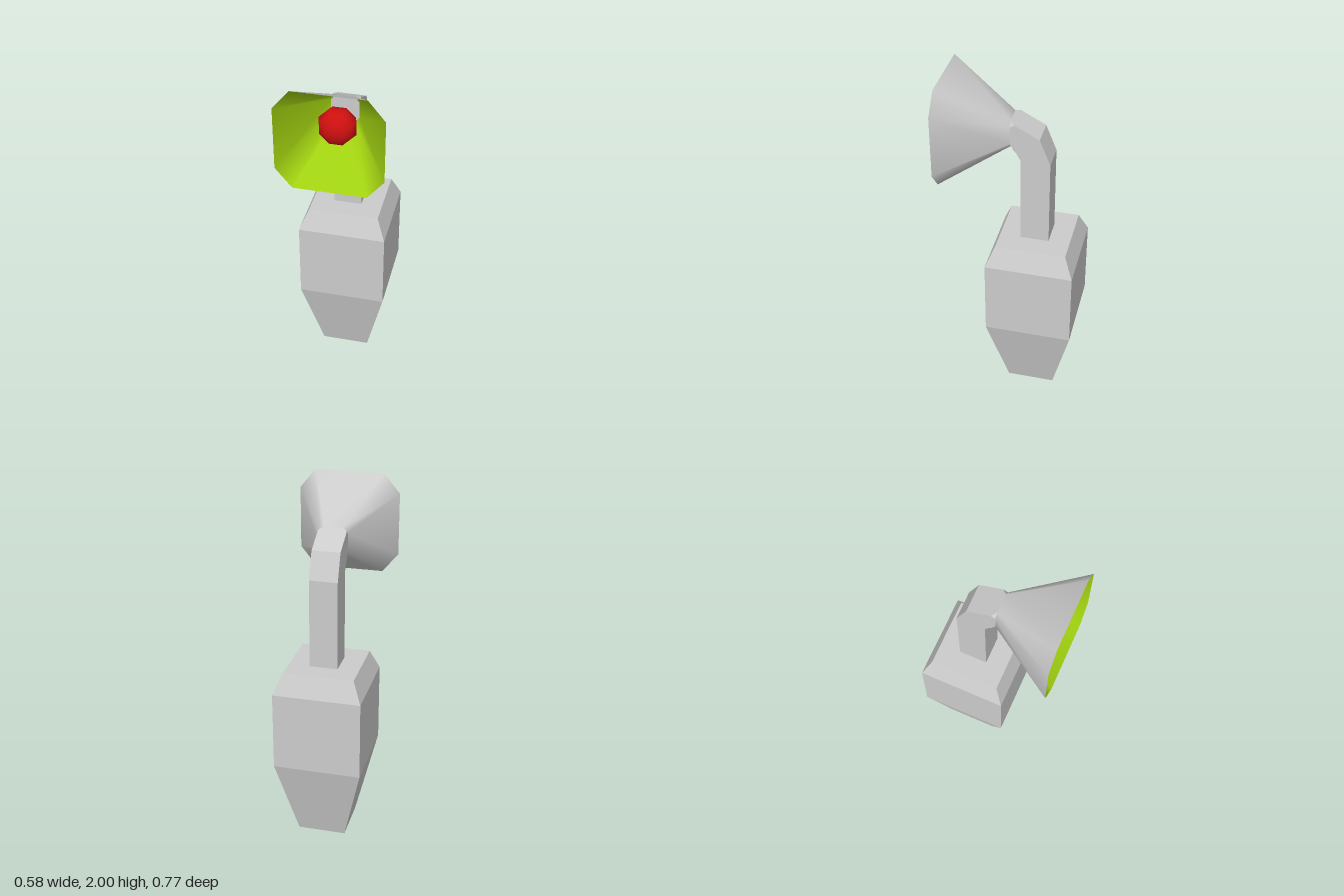
import * as THREE from 'three';

// Joins rings of points into a skin; rings run counterclockwise about the path.
function loft(rings, { flat = true, caps = true, inward = false } = {}) {
  const n = rings[0].length, last = (rings.length - 1) * n, index = [];
  const tri = (a, b, c) => (inward ? index.push(a, c, b) : index.push(a, b, c));
  for (let r = 0; r < rings.length - 1; r++) {
    for (let i = 0; i < n; i++) {
      const a = r * n + i, b = r * n + (i + 1) % n;
      tri(a, b, b + n);
      tri(a, b + n, a + n);
    }
  }
  if (caps) {
    for (let i = 1; i < n - 1; i++) {
      tri(0, i + 1, i);
      tri(last, last + i, last + i + 1);
    }
  }
  let geometry = new THREE.BufferGeometry();
  geometry.setAttribute('position', new THREE.Float32BufferAttribute(rings.flat(2), 3));
  geometry.setIndex(index);
  if (flat) geometry = geometry.toNonIndexed();
  geometry.computeVertexNormals();
  return geometry;
}

// Horizontal square of half width h
const square = (h, y, cz) => [[h, y, cz + h], [h, y, cz - h], [-h, y, cz - h], [-h, y, cz + h]];

// Upright octagon facing +z: half size h, flat sides of half length fx and fy
const octagon = (h, fx, fy, cy, z) => [
  [fx, -h], [h, -fy], [h, fy], [fx, h], [-fx, h], [-h, fy], [-h, -fy], [-fx, -h],
].map(([x, y]) => [x, cy + y, z]);

// Square stem section with doubled corners, so it can meet an octagon
function stemSection([innerZ, innerY], [outerZ, outerY]) {
  const w = 0.08;
  const inner = [innerY, innerZ], outer = [outerY, outerZ];
  return [[w, ...inner], [w, ...inner], [w, ...outer], [w, ...outer],
    [-w, ...outer], [-w, ...outer], [-w, ...inner], [-w, ...inner]];
}

export function createModel() {
  const model = new THREE.Group();
  const grey = { color: 0xcccccc };
  const add = (name, geometry, options) => {
    const mesh = new THREE.Mesh(geometry, new THREE.MeshStandardMaterial(options));
    mesh.name = name;
    model.add(mesh);
    return mesh;
  };

  // Square tapered pot
  const potZ = -0.133;
  const pot = [[0.138, 0], [0.25, 0.47], [0.25, 0.925], [0.2, 1.045]];
  add('pot', loft(pot.map(([h, y]) => square(h, y, potZ))), { ...grey, flatShading: true });

  // Stem rising from the pot and bending forward into the bloom
  const bloomY = 1.71;
  const throat = octagon(0.08, 0.053, 0.05, bloomY, 0.01);
  add('stem', loft([
    stemSection([-0.05, 1.04], [-0.213, 1.04]),
    stemSection([-0.05, 1.56], [-0.213, 1.555]),
    stemSection([-0.025, 1.605], [-0.153, 1.705]),
    stemSection([-0.012, 1.617], [-0.015, 1.777]),
    throat,
  ]), { ...grey, flatShading: true });

  // Flared octagonal bloom: outer skin and coloured lining
  const rim = octagon(0.292, 0.2, 0.18, bloomY, 0.383);
  add('bloomOuter', loft([throat, rim], { flat: false, caps: false }), grey);
  add('bloomLining', loft([octagon(0.078, 0.051, 0.048, bloomY, 0.012), rim],
    { flat: false, caps: false, inward: true }), { color: 0xa0d010 });

  // Rounded eight-sided centre
  const ball = new THREE.SphereGeometry(0.109, 8, 6).rotateX(Math.PI / 2).rotateZ(Math.PI / 8);
  const centre = add('bloomCentre', ball.scale(1, 1, 0.8), { color: 0xd01010 });
  centre.position.set(0, bloomY, 0.19);

  return model;
}
